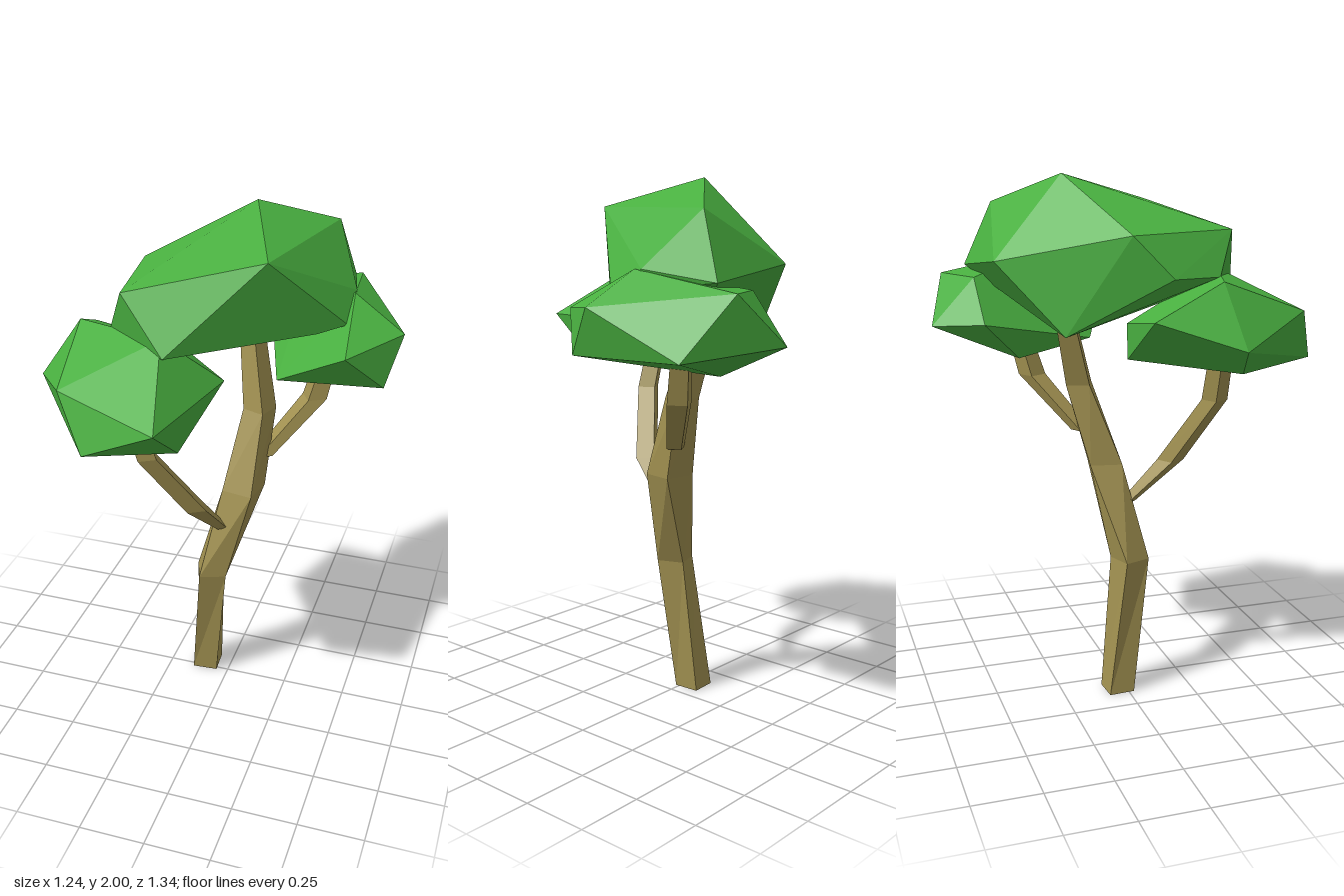
import * as THREE from 'three';
import { ConvexGeometry } from 'three/addons/geometries/ConvexGeometry.js';

const bark = new THREE.MeshStandardMaterial({ color: 0xa09050, flatShading: true });
const leaf = new THREE.MeshStandardMaterial({ color: 0x49b040, flatShading: true });

// Square limb lofted through rings [x, y, z, half width, turn in degrees]
function limb(name, rings) {
  const pos = [], index = [];
  for (const [x, y, z, h, turn] of rings) {
    const c = Math.cos(turn * Math.PI / 180), s = Math.sin(turn * Math.PI / 180);
    for (const [u, v] of [[-h, h], [h, h], [h, -h], [-h, -h]]) {
      pos.push(x + u * c + v * s, y, z - u * s + v * c);
    }
  }
  for (let r = 0; r < rings.length - 1; r++) {
    for (let i = 0; i < 4; i++) {
      const a = r * 4 + i, b = r * 4 + (i + 1) % 4;
      index.push(a, b, b + 4, a, b + 4, a + 4);
    }
  }
  const t = (rings.length - 1) * 4;
  index.push(0, 2, 1, 0, 3, 2, t, t + 1, t + 2, t, t + 2, t + 3);
  const indexed = new THREE.BufferGeometry();
  indexed.setAttribute('position', new THREE.Float32BufferAttribute(pos, 3));
  indexed.setIndex(index);
  const geo = indexed.toNonIndexed();
  geo.computeVertexNormals();
  const mesh = new THREE.Mesh(geo, bark);
  mesh.name = name;
  return mesh;
}

// Faceted leaf clump: convex hull of its corner points
function clump(name, corners) {
  const mesh = new THREE.Mesh(
    new ConvexGeometry(corners.map(p => new THREE.Vector3(...p))), leaf);
  mesh.name = name;
  return mesh;
}

export function createModel() {
  const tree = new THREE.Group();
  tree.name = 'tree';

  // Leaning trunk with a slight twist
  tree.add(limb('trunk', [
    [-0.10, 0, -0.033, 0.05, 4],
    [-0.058, 0.53, 0.03, 0.053, 20],
    [0.053, 0.90, -0.038, 0.062, -10],
    [0.088, 1.21, -0.13, 0.045, -20],
    [0.035, 1.50, -0.20, 0.034, -20],
  ]));

  // Side branches growing out of the trunk
  tree.add(limb('rightBranch', [
    [-0.015, 0.75, 0.035, 0.02, 30],
    [-0.07, 0.92, 0.19, 0.036, 30],
    [-0.213, 1.18, 0.31, 0.034, 30],
    [-0.28, 1.40, 0.31, 0.031, 30],
  ]));
  tree.add(limb('leftBranch', [
    [0.11, 1.02, -0.115, 0.028, 30],
    [0.27, 1.22, -0.27, 0.037, 30],
    [0.315, 1.42, -0.32, 0.031, 30],
  ]));

  // Foliage
  tree.add(clump('topFoliage', [
    [0.05, 2.0, -0.20], [0.31, 1.89, -0.41], [0.19, 1.90, 0.16],
    [-0.27, 1.81, 0.34], [-0.33, 1.80, -0.05], [-0.06, 1.70, -0.48],
    [0.36, 1.65, -0.51], [0.42, 1.69, -0.23], [0.42, 1.61, -0.09],
    [0.33, 1.60, 0.0], [-0.10, 1.62, 0.41], [-0.34, 1.65, 0.27],
    [-0.37, 1.65, 0.09], [-0.21, 1.44, -0.26], [-0.03, 1.46, -0.08],
    [0.07, 1.45, -0.19], [0.16, 1.48, -0.28],
  ]));
  tree.add(clump('rightFoliage', [
    [-0.62, 1.43, 0.26], [-0.47, 1.65, 0.23], [-0.42, 1.53, 0.56],
    [-0.04, 1.47, 0.67], [-0.31, 1.34, 0.64], [-0.03, 1.31, 0.47],
    [-0.49, 1.33, 0.30], [-0.13, 1.66, 0.34], [0.05, 1.47, 0.20],
    [-0.53, 1.53, -0.04], [-0.21, 1.35, -0.03], [-0.20, 1.48, -0.03],
  ]));
  tree.add(clump('leftFoliage', [
    [0.19, 1.44, -0.67], [0.37, 1.62, -0.60], [0.54, 1.40, -0.50],
    [0.615, 1.57, -0.16], [0.57, 1.40, -0.05], [0.45, 1.55, 0.08],
    [0.42, 1.69, -0.20], [0.17, 1.37, -0.06], [0.14, 1.31, -0.35],
    [0.03, 1.46, -0.50], [0.17, 1.62, -0.51],
  ]));
  return tree;
}
